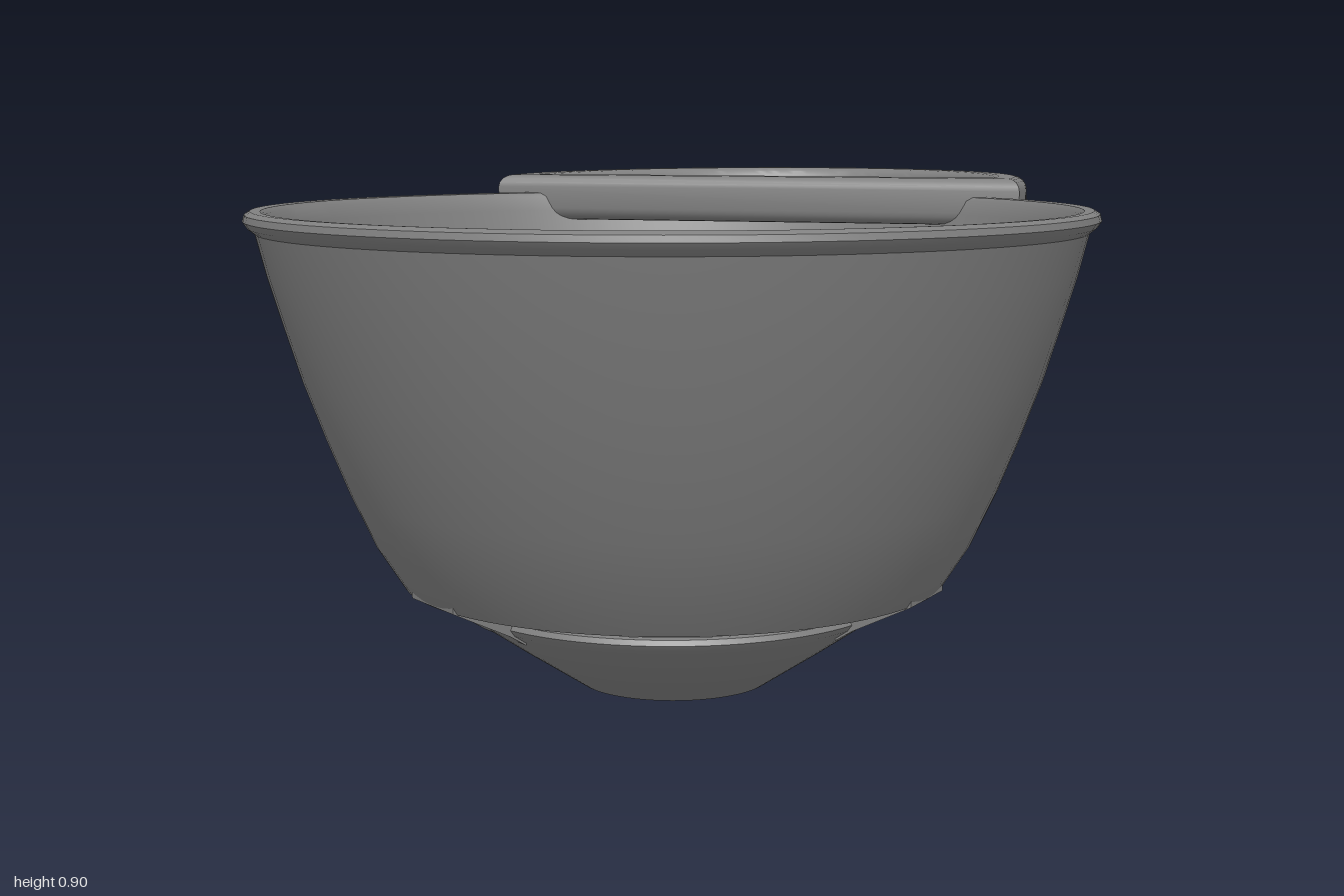
import * as THREE from 'three';
import { toCreasedNormals } from 'three/addons/utils/BufferGeometryUtils.js';
import { RoundedBoxGeometry } from 'three/addons/geometries/RoundedBoxGeometry.js';

const BOWL_Z = 0.255;

export function createModel() {
  const group = new THREE.Group();
  const grey = new THREE.MeshStandardMaterial({ color: 0x808080 });
  grey.name = 'grey plastic';

  const add = (name, geometry, parent = group) => {
    const mesh = new THREE.Mesh(geometry, grey);
    mesh.name = name;
    parent.add(mesh);
    return mesh;
  };
  const lathe = (points) => toCreasedNormals(
    new THREE.LatheGeometry(points.map(([r, y]) => new THREE.Vector2(r, y)), 96), 0.6);
  // Extrudes a plan (x, -z) upward from height y
  const slab = (shape, y, height, bevel) => {
    const g = new THREE.ExtrudeGeometry(shape, {
      depth: height - 2 * bevel, curveSegments: 48, bevelEnabled: bevel > 0,
      bevelThickness: bevel, bevelSize: bevel, bevelOffset: -bevel, bevelSegments: 4,
    });
    g.rotateX(-Math.PI / 2).translate(0, y + bevel, 0);
    return toCreasedNormals(g, 0.6);
  };

  // Bowl: open-bottomed wall, hanging saucer and the bridges between them
  const bowl = new THREE.Group();
  bowl.name = 'bowl';
  bowl.position.z = BOWL_Z;
  group.add(bowl);

  add('bowlWall', lathe([
    [0.452, 0.215], [0.48, 0.215], [0.528, 0.29], [0.572, 0.385], [0.61, 0.48], [0.647, 0.58],
    [0.678, 0.68], [0.702, 0.76], [0.72, 0.832], [0.733, 0.842], [0.74, 0.853],
    [0.737, 0.864], [0.727, 0.87], [0.71, 0.869], [0.702, 0.862], [0.693, 0.835], [0.673, 0.76],
    [0.648, 0.68], [0.617, 0.58], [0.58, 0.48], [0.542, 0.385], [0.498, 0.295], [0.452, 0.23], [0.452, 0.215],
  ]), bowl);

  add('saucer', lathe([
    [0, 0.003], [0.08, 0.01], [0.17, 0.028], [0.28, 0.1], [0.375, 0.165], [0.383, 0.176], [0.378, 0.185],
    [0.363, 0.186], [0.27, 0.125], [0.165, 0.062], [0.08, 0.043], [0, 0.037],
  ]), bowl);

  const bridgeProfile = new THREE.Shape([
    [0.345, 0.146], [0.375, 0.165], [0.482, 0.217], [0.482, 0.255], [0.45, 0.232], [0.365, 0.186], [0.345, 0.17],
  ].map(([x, y]) => new THREE.Vector2(x, y)));
  const bridgeGeometry = new THREE.ExtrudeGeometry(bridgeProfile, { depth: 0.15, bevelEnabled: false });
  bridgeGeometry.translate(0, 0, -0.075);
  for (const degrees of [11, 131, 251]) {
    add('bridge', bridgeGeometry, bowl).rotation.y = -THREE.MathUtils.degToRad(degrees);
  }

  // Handle: rounded D-shaped frame
  const halfEllipse = (path, y, rx, ry) => {
    path.moveTo(rx, y);
    path.absellipse(0, y, rx, ry, 0, Math.PI, false, 0);
    return path;
  };
  const frame = new THREE.Shape();
  frame.moveTo(0.532, 0.3);
  frame.lineTo(0.532, 0.36);
  frame.absellipse(0, 0.36, 0.532, 0.64, 0, Math.PI, false, 0);
  frame.lineTo(-0.532, 0.3);
  frame.closePath();
  const opening = halfEllipse(new THREE.Path(), 0.4, 0.448, 0.525);
  opening.closePath();
  frame.holes.push(opening);
  add('handleFrame', slab(frame, 0.815, 0.09, 0.024));

  // Recessed floor, cut back along the bowl rim
  const cutRadius = 0.715;
  const cutX = Math.sqrt(cutRadius ** 2 - (0.38 + BOWL_Z) ** 2);
  const cutAngle = Math.acos(cutX / cutRadius);
  const floor = halfEllipse(new THREE.Shape(), 0.38, 0.48, 0.58);
  floor.lineTo(-cutX, 0.38);
  floor.absarc(0, -BOWL_Z, cutRadius, Math.PI - cutAngle, cutAngle, true);
  floor.closePath();
  add('handleFloor', slab(floor, 0.817, 0.028, 0));

  // Hook below the handle: post and forward-pointing foot
  const post = add('hookPost', new RoundedBoxGeometry(0.41, 0.437, 0.112, 3, 0.014));
  post.position.set(0, 0.6415, -0.754);
  const foot = add('hookFoot', new RoundedBoxGeometry(0.41, 0.09, 0.24, 3, 0.018));
  foot.position.set(0, 0.457, -0.67);

  return group;
}
